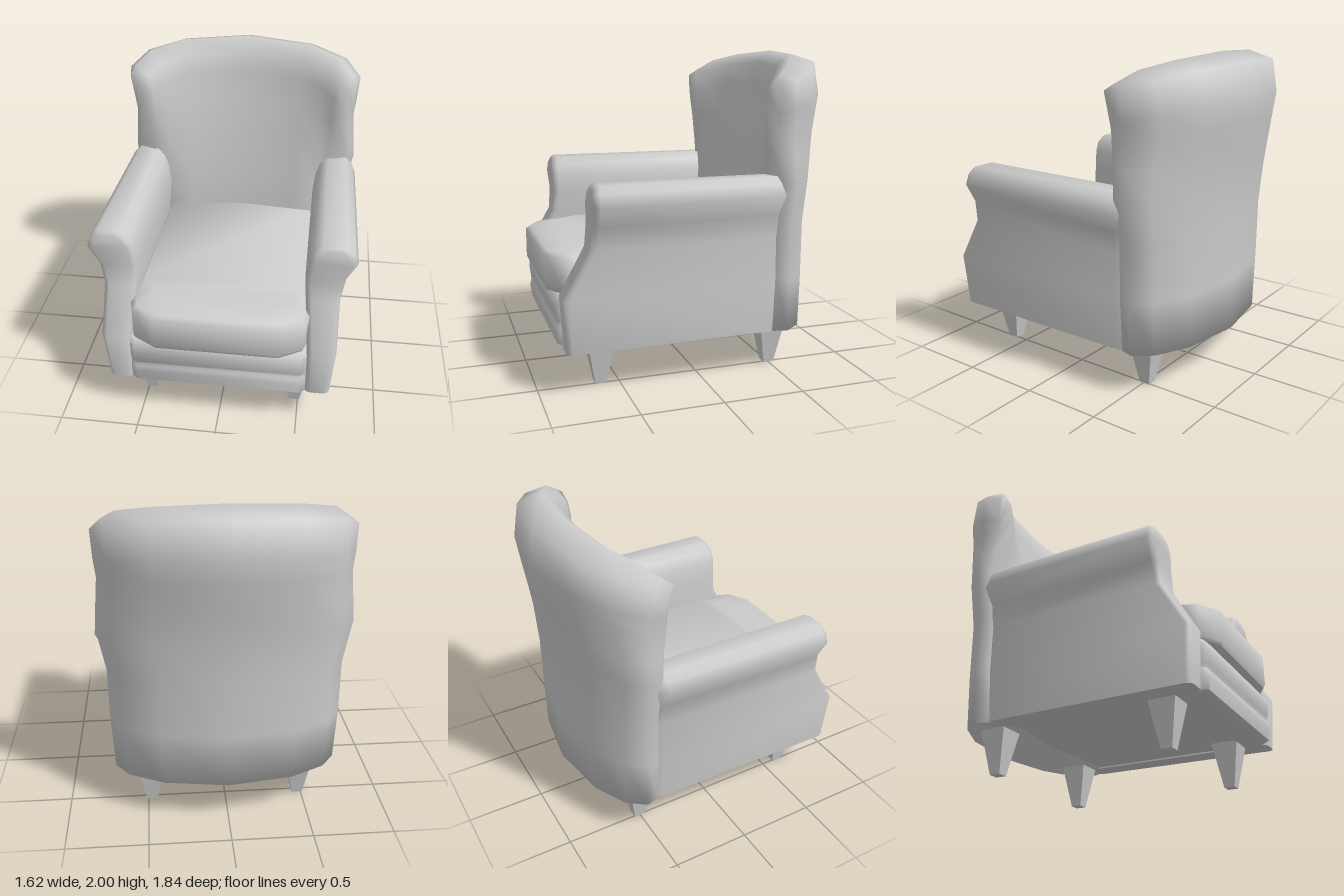
import * as THREE from 'three';
import { toCreasedNormals } from 'three/addons/utils/BufferGeometryUtils.js';

const material = new THREE.MeshStandardMaterial({ color: 0xcccccc, roughness: 0.8 });

// Skin closed rings of [x, y, z] points. Each ring runs up one side and down the
// other, so the end caps are strips joining point i to point n-1-i.
function loft(name, rings, crease) {
  const n = rings[0].length;
  const p = rings.flat();
  const idx = [];
  const quad = (a, b, c, d) => idx.push(a, b, c, a, c, d);
  for (let r = 0; r < rings.length - 1; r++) {
    for (let i = 0; i < n; i++) {
      const j = (i + 1) % n;
      quad(r * n + i, r * n + j, (r + 1) * n + j, (r + 1) * n + i);
    }
  }
  const last = (rings.length - 1) * n;
  for (let i = 0; i < n / 2 - 1; i++) {
    quad(i, n - 1 - i, n - 2 - i, i + 1);
    quad(last + i, last + i + 1, last + n - 2 - i, last + n - 1 - i);
  }
  // Turn the faces outward if the enclosed volume comes out negative
  let volume = 0;
  const [a, b, c] = [0, 1, 2].map(() => new THREE.Vector3());
  for (let i = 0; i < idx.length; i += 3) {
    a.fromArray(p[idx[i]]); b.fromArray(p[idx[i + 1]]); c.fromArray(p[idx[i + 2]]);
    volume += a.dot(b.cross(c));
  }
  if (volume < 0) idx.reverse();
  const geo = new THREE.BufferGeometry();
  geo.setAttribute('position', new THREE.Float32BufferAttribute(p.flat(), 3));
  geo.setIndex(idx);
  const mesh = new THREE.Mesh(toCreasedNormals(geo, crease), material);
  mesh.name = name;
  return mesh;
}

// Curved backrest: one vertical section at each station round the plan
function makeBackrest() {
  // outer x, outer z, inner x, inner z, top y, share of the forward shift
  const half = [
    [0, -0.915, 0, -0.60, 2.0, 1],
    [0.44, -0.845, 0.38, -0.55, 1.975, 0.9],
    [0.68, -0.70, 0.54, -0.46, 1.93, 0.5],
    [0.775, -0.53, 0.61, -0.40, 1.86, -0.1],
    [0.75, -0.43, 0.66, -0.37, 1.82, -0.3],
  ];
  const mirrored = half.slice(1).reverse().map(([a, b, c, ...r]) => [-a, b, -c, ...r]);
  // outer to inner blend, height, width scale, forward shift
  const section = [
    [0, 0.27, 0.90, 0.095], [0, 0.6, 0.925, 0.095], [0, 0.95, 0.93, 0.095],
    [0, 1.22, 1.0, 0.085], [0, 1.4, 0.985, 0.055], [0, 1.6, 0.968, 0.02],
    [0, 1.74, 0.985, 0], [0.14, 1.95, 1.03, 0],
    [0.68, 2.0, 1.08, 0], [0.95, 1.92, 1.04, 0], [1, 1.79, 1, 0],
    [1, 1.6, 0.98, 0.05], [1, 1.36, 0.97, 0.10],
    [1, 1.05, 0.95, 0.16], [1, 0.8, 0.95, 0.19], [1, 0.27, 0.95, 0.19],
  ];
  const rings = [...mirrored, ...half].map(([xo, zo, xi, zi, top, shift]) =>
    section.map(([f, y, k, dz]) => [
      (xo + (xi - xo) * f) * k,
      y < 1.3 ? y : 1.3 + (y - 1.3) * (top - 1.3) / 0.7,
      zo + (zi - zo) * f + dz * shift,
    ]));
  return loft('backrest', rings, 1.9);
}

// Scrolled arm: height, outer x, inner x, front z
function makeArm(side) {
  const rows = [
    [0.27, 0.695, 0.54, 0.85], [0.6, 0.72, 0.54, 0.87], [0.88, 0.72, 0.515, 0.71],
    [1.02, 0.745, 0.505, 0.695], [1.14, 0.81, 0.52, 0.70], [1.215, 0.785, 0.55, 0.70],
    [1.255, 0.74, 0.60, 0.69],
  ];
  // Ring pulled in by inset, its outer side scaled to tuck into the backrest
  const ring = (inset, zAt, tuck = 1) => {
    const top = y => (y > 1.2 ? y - inset * 0.8 : y);
    return [
      ...rows.map(([y, xo, , zf]) => [side * (xo * tuck - inset), top(y), zAt(zf)]),
      ...rows.map(([y, , xi, zf]) => [side * (xi + inset), top(y), zAt(zf)]).reverse(),
    ];
  };
  return loft(side > 0 ? 'leftArm' : 'rightArm', [
    ring(0, () => -0.57, 0.84),
    ring(0, () => -0.43, 0.975),
    ring(0, zf => zf - 0.035),
    ring(0.012, zf => zf - 0.01),
    ring(0.035, zf => zf),
  ], 1.0);
}

// Seat cushion: plan outline stacked in layers that close in towards the top
function makeCushion() {
  const left = [[0.51, -0.42], [0.515, 0.68], [0.545, 0.76], [0.52, 0.84], [0.38, 0.92]];
  const plan = [...left, ...left.map(([x, z]) => [-x, z]).reverse()];
  const layers = [[0.585, 0.01], [0.61, 0], [0.8, 0], [0.825, 0.025], [0.845, 0.13]];
  return loft('seatCushion', layers.map(([y, inset]) => plan.map(([x, z]) => [
    x - Math.sign(x) * inset * (z > 0.7 ? 1 : 0.1), y, z > 0.6 ? z - inset : z,
  ])), 1.15);
}

// Front rail with two padded rolls: y, z up the front, then down the hidden back
function makeRail() {
  const profile = [
    [0.27, 0.84], [0.285, 0.875], [0.36, 0.885], [0.395, 0.88], [0.415, 0.868],
    [0.44, 0.88], [0.50, 0.888], [0.56, 0.88], [0.587, 0.85],
  ];
  const loop = [...profile, ...profile.map(([y]) => [y, 0.7]).reverse()];
  // x, setback of the rounded ends
  const ends = [[-0.545, 0.03], [-0.51, 0], [0.51, 0], [0.545, 0.03]];
  return loft('frontRail', ends.map(([x, s]) =>
    loop.map(([y, z]) => [x, y, z > 0.7 ? z - s : z])), 1.0);
}

export function createModel() {
  const model = new THREE.Group();
  model.name = 'armchair';
  model.add(makeBackrest(), makeArm(1), makeArm(-1), makeCushion(), makeRail());

  // Seat base closing the underside
  const base = new THREE.Mesh(new THREE.BoxGeometry(1.12, 0.3, 1.32), material);
  base.name = 'seatBase';
  base.position.set(0, 0.43, 0.12);
  model.add(base);

  // Square tapered legs
  const legGeo = new THREE.CylinderGeometry(0.085 * Math.SQRT2, 0.034 * Math.SQRT2, 0.28, 4)
    .rotateY(Math.PI / 4).toNonIndexed();
  legGeo.computeVertexNormals();
  for (const x of [-0.475, 0.475]) {
    for (const z of [0.615, -0.505]) {
      const leg = new THREE.Mesh(legGeo, material);
      leg.name = (z > 0 ? 'front' : 'rear') + (x > 0 ? 'Left' : 'Right') + 'Leg';
      leg.position.set(x, 0.14, z);
      model.add(leg);
    }
  }
  return model;
}
